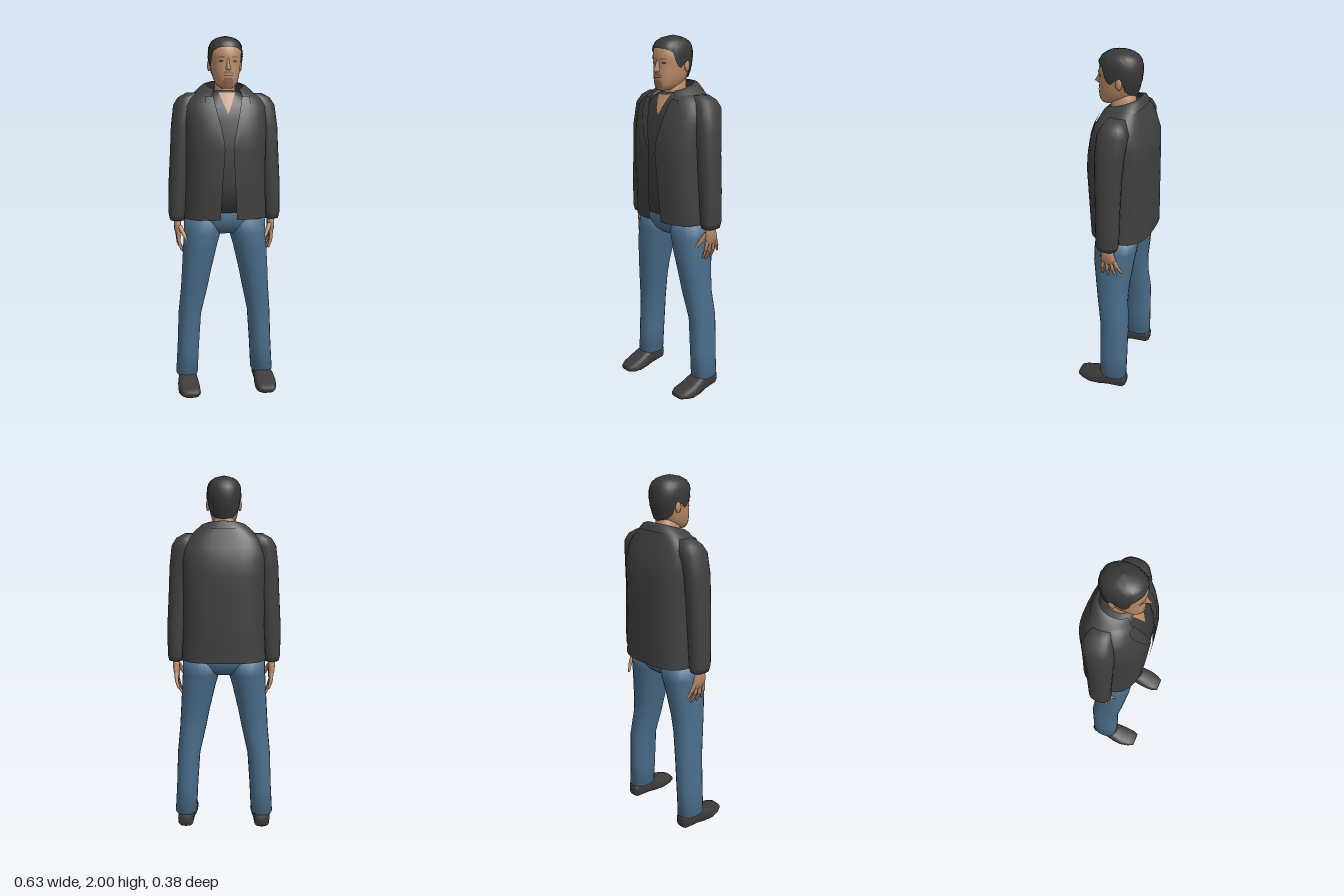
import * as THREE from 'three';

const mat = (name, color) =>
  Object.assign(new THREE.MeshStandardMaterial({ color, side: THREE.DoubleSide }), { name });

// Cross-section rows, ascending: [y, centreX, halfWidth, frontZ, backZ, frontGap, tilt]
const JACKET = [
  [1.015, 0, 0.235, 0.145, -0.19, 0.045, 0], [1.2, 0, 0.225, 0.157, -0.19, 0.035, 0],
  [1.4, 0, 0.225, 0.166, -0.188, 0.022, 0], [1.48, 0, 0.228, 0.158, -0.187, 0.035, 0],
  [1.56, 0, 0.23, 0.142, -0.182, 0.055, 0], [1.63, 0, 0.226, 0.118, -0.157, 0.07, 0],
  [1.67, 0, 0.2, 0.098, -0.14, 0.08, 0.05], [1.7, 0, 0.16, 0.085, -0.125, 0.085, 0.15],
  [1.725, 0, 0.115, 0.07, -0.11, 0.08, 0.3],
];
const COLLAR = [
  [1.695, 0, 0.165, 0.1, -0.132, 0.085, 0.25], [1.728, 0, 0.125, 0.085, -0.118, 0.075, 0.3],
  [1.738, 0, 0.1, 0.07, -0.1, 0.065, 0.3],
];
const SHIRT = [
  [1.055, 0, 0.19, 0.133, -0.16], [1.2, 0, 0.19, 0.143, -0.16], [1.4, 0, 0.19, 0.15, -0.16],
  [1.56, 0, 0.19, 0.128, -0.15], [1.63, 0, 0.18, 0.105, -0.13], [1.68, 0, 0.11, 0.08, -0.1],
  [1.71, 0, 0.07, 0.065, -0.085],
];
const HEAD = [
  [1.722, 0, 0.028, 0.106, 0.03], [1.735, 0, 0.045, 0.116, 0], [1.755, 0, 0.06, 0.12, -0.04],
  [1.785, 0, 0.07, 0.122, -0.07], [1.82, 0, 0.077, 0.12, -0.083], [1.865, 0, 0.083, 0.115, -0.093],
  [1.885, 0, 0.084, 0.122, -0.095], [1.93, 0, 0.083, 0.115, -0.092], [1.965, 0, 0.066, 0.09, -0.075],
  [1.985, 0, 0.04, 0.055, -0.045],
];
const HAIR = [
  [1.77, 0, 0.068, 0.1, -0.078], [1.82, 0, 0.084, 0.122, -0.094], [1.86, 0, 0.09, 0.124, -0.103],
  [1.9, 0, 0.093, 0.125, -0.107], [1.94, 0, 0.09, 0.12, -0.102], [1.97, 0, 0.077, 0.1, -0.085],
  [1.99, 0, 0.047, 0.062, -0.05], [2.0, 0, 0.002, 0.007, 0.003],
];
const NECK = [[1.6, 0, 0.062, 0.06, -0.08], [1.69, 0, 0.057, 0.058, -0.075], [1.79, 0, 0.056, 0.065, -0.07]];
const PELVIS = [
  [0.925, 0, 0.12, 0.05, -0.08], [0.95, 0, 0.19, 0.082, -0.11], [1.0, 0, 0.226, 0.104, -0.14],
  [1.15, 0, 0.205, 0.11, -0.14],
];
const LEG = [
  [0.09, 0.222, 0.063, 0.055, -0.105], [0.25, 0.213, 0.062, 0.056, -0.108], [0.45, 0.202, 0.065, 0.056, -0.11],
  [0.6, 0.178, 0.075, 0.078, -0.096], [0.7, 0.165, 0.082, 0.09, -0.1], [0.85, 0.143, 0.095, 0.108, -0.118],
  [0.93, 0.129, 0.104, 0.108, -0.13], [1.02, 0.118, 0.112, 0.1, -0.14],
];
const SLEEVE = [
  [1.0, 0.267, 0.042, 0.04, -0.07], [1.03, 0.268, 0.048, 0.048, -0.078], [1.2, 0.26, 0.055, 0.05, -0.08],
  [1.4, 0.245, 0.058, 0.055, -0.085], [1.52, 0.235, 0.062, 0.058, -0.095], [1.635, 0.216, 0.066, 0.05, -0.11],
  [1.675, 0.198, 0.058, 0.03, -0.095], [1.7, 0.165, 0.045, 0.01, -0.075],
];
// Shoe rows run heel to toe along z: [z, centreX, halfWidth, -bottom, -top]
const SHOE = [
  [-0.105, 0.222, 0.03, -0.02, -0.08], [-0.09, 0.222, 0.045, -0.01, -0.11], [0, 0.222, 0.05, -0.005, -0.115],
  [0.05, 0.223, 0.058, 0, -0.1], [0.11, 0.222, 0.062, 0, -0.075], [0.16, 0.217, 0.055, -0.01, -0.062],
  [0.192, 0.215, 0.04, -0.02, -0.05],
];
const PALM = [
  [0.905, 0.262, 0.012, 0.018, -0.062], [0.94, 0.268, 0.018, 0.024, -0.062], [0.975, 0.268, 0.02, 0.02, -0.05],
  [1.03, 0.266, 0.022, 0.012, -0.04],
];

// Piecewise-linear lookup in ascending rows
function sample(rows, y) {
  let i = 0;
  while (i < rows.length - 2 && y > rows[i + 1][0]) i++;
  const k = THREE.MathUtils.clamp((y - rows[i][0]) / (rows[i + 1][0] - rows[i][0]), 0, 1);
  return rows[i].map((v, j) => v + (rows[i + 1][j] - v) * k);
}
const spow = (v, e) => Math.sign(v) * Math.abs(v) ** e;
function ringPoint([y, cx, rx, zf, zb, , tilt = 0], t, e) {
  const z = (zf + zb) / 2 + (zf - zb) / 2 * spow(Math.cos(t), e);
  return [cx + rx * spow(Math.sin(t), e), y - tilt * z, z];
}
function frontZ(rows, x, y, e) {
  const [, cx, rx, zf, zb] = sample(rows, y);
  const s = Math.min(1, Math.abs(x - cx) / rx) ** (1 / e);
  return (zf + zb) / 2 + (zf - zb) / 2 * Math.sqrt(1 - s * s) ** e;
}

// Grid of points to a smooth surface
function surface(grid, closed, cap) {
  const n = grid[0].length, index = [], pos = grid.flat(2);
  for (let i = 0; i < grid.length - 1; i++)
    for (let j = 0; j < (closed ? n : n - 1); j++) {
      const a = i * n + j, b = i * n + (j + 1) % n;
      index.push(a, b, a + n, b, b + n, a + n);
    }
  if (cap) [0, grid.length - 1].forEach((r) => {
    const c = pos.length / 3, ring = grid[r];
    pos.push(...[0, 1, 2].map((k) => ring.reduce((s, p) => s + p[k], 0) / n));
    for (let j = 0; j < n; j++) {
      const a = r * n + j, b = r * n + (j + 1) % n;
      index.push(...(r ? [a, b, c] : [b, a, c]));
    }
  });
  const g = new THREE.BufferGeometry();
  g.setAttribute('position', new THREE.Float32BufferAttribute(pos, 3));
  g.setIndex(index);
  g.computeVertexNormals();
  return g;
}
const loft = (rows, e = 0.9, n = 20) => surface(rows.map((r) =>
  Array.from({ length: n }, (_, j) => ringPoint(r, j / n * Math.PI * 2, e))), true, true);
// Loft left open at the front by each row's gap
const openLoft = (rows, e, n = 32) => surface(rows.map((r) => {
  const t0 = Math.asin((r[5] / r[2]) ** (1 / e));
  return Array.from({ length: n + 1 }, (_, j) => ringPoint(r, t0 + j / n * (Math.PI * 2 - 2 * t0), e));
}), false, false);
// Thin patch following the front of a loft; spans ascending: [y, x0, x1]
const patch = (rows, e, spans, off) => surface(spans.map(([y, a, b]) =>
  [0, 1, 2, 3, 4].map((k) => {
    const x = a + (b - a) * k / 4;
    return [x, y, frontZ(rows, x, y, e) + off];
  })), false, false);
// Tapered rod between two points
function rod(a, b, r0, r1) {
  const p = new THREE.Vector3(...a), d = new THREE.Vector3(...b).sub(p);
  const g = new THREE.CylinderGeometry(r1, r0, d.length(), 7);
  g.applyQuaternion(new THREE.Quaternion().setFromUnitVectors(new THREE.Vector3(0, 1, 0), d.clone().normalize()));
  return g.translate(...p.addScaledVector(d, 0.5).toArray());
}

export function createModel() {
  const model = new THREE.Group();
  const cloth = mat('jacket charcoal', 0x404040), shirt = mat('shirt charcoal', 0x3b3b3b);
  const denim = mat('denim blue', 0x4a6d8a), skin = mat('skin', 0xb88a69);
  const hair = mat('hair black', 0x383838), leather = mat('shoe black', 0x3d3b3a);
  const stubble = mat('stubble brown', 0x8f6a52), dark = mat('eye brown', 0x4f3a2e);
  const add = (name, geo, m, parent = model) => {
    const mesh = new THREE.Mesh(geo, m);
    mesh.name = name;
    parent.add(mesh);
    return mesh;
  };

  // Clothing on the trunk
  add('jacket', openLoft(JACKET, 0.72), cloth);
  add('collar', openLoft(COLLAR, 0.85), cloth);
  add('shirt', loft(SHIRT, 0.75, 28), shirt);
  add('pelvis', loft(PELVIS, 0.8, 24), denim);
  add('neck', loft(NECK), skin);
  add('openNeckSkin', patch(SHIRT, 0.75, [[1.59, -0.002, 0.002], [1.64, -0.022, 0.022], [1.7, -0.045, 0.045]], 0.006), skin);

  // Head and face
  add('head', loft(HEAD, 0.88, 28), skin);
  add('nose', surface([
    [[-0.017, 1.818, 0.114], [0, 1.815, 0.135], [0.017, 1.818, 0.114]],
    [[-0.015, 1.828, 0.116], [0, 1.826, 0.151], [0.015, 1.828, 0.116]],
    [[-0.009, 1.85, 0.112], [0, 1.85, 0.135], [0.009, 1.85, 0.112]],
    [[-0.007, 1.88, 0.112], [0, 1.88, 0.123], [0.007, 1.88, 0.112]]], false, false), skin);
  add('moustache', patch(HEAD, 0.88, [[1.795, -0.034, 0.034], [1.81, -0.018, 0.018]], 0.002), stubble);
  add('mouth', patch(HEAD, 0.88, [[1.786, -0.024, 0.024], [1.791, -0.026, 0.026]], 0.003), dark);
  add('chinStubble', patch(HEAD, 0.88, [[1.735, -0.024, 0.024], [1.76, -0.03, 0.03], [1.778, -0.016, 0.016]], 0.002), stubble);

  // Hair: lower edge follows the hairline, sideburns and nape
  const edge = [[0, 1.938], [0.55, 1.932], [0.95, 1.915], [1.15, 1.855], [1.4, 1.835], [1.65, 1.87],
    [1.85, 1.865], [2.05, 1.805], [2.4, 1.785], [3.15, 1.775]];
  const hairGrid = Array.from({ length: 11 }, (_, i) => Array.from({ length: 40 }, (_, j) => {
    const t = j / 40 * Math.PI * 2, low = sample(edge, Math.min(t, Math.PI * 2 - t))[1];
    const r = sample(HAIR, low + (2 - low) * (1 - (1 - i / 10) ** 1.5));
    const bump = i > 0 && i < 10 ? 0.002 * Math.sin(j * 2.3 + i * 4.1) : 0;
    r[2] += bump; r[3] += bump; r[4] -= bump;
    return ringPoint(r, t, 0.9);
  }));
  add('hair', surface(hairGrid, true, false), hair);

  // Mirrored parts
  for (const [side, s] of [['left', 1], ['right', -1]]) {
    const g = new THREE.Group();
    g.name = side + 'Side';
    g.scale.x = s;
    model.add(g);
    const put = (name, geo, m) => add(side + name, geo, m, g);
    put('Sleeve', loft(SLEEVE), cloth);
    put('Lapel', patch(JACKET, 0.72, [[1.42, 0.024, 0.03], [1.5, 0.038, 0.075], [1.58, 0.057, 0.105],
      [1.64, 0.07, 0.125], [1.68, 0.078, 0.12]], 0.006), cloth);
    put('TrouserLeg', loft(LEG), denim);
    put('Shoe', loft(SHOE, 0.65, 16).rotateX(Math.PI / 2), leather);
    put('Palm', loft(PALM, 0.85, 12), skin);
    [[0.012, 0.83, 0.022, 0.247], [-0.012, 0.808, -0.008, 0.232], [-0.034, 0.815, -0.05, 0.235],
      [-0.052, 0.85, -0.09, 0.25]].forEach(([z0, y, z1, x]) => {
      const mid = [0.263, (0.925 + y) / 2, (z0 + z1) / 2];
      put('FingerBase', rod([0.267, 0.93, z0], mid, 0.012, 0.01), skin);
      put('FingerTip', rod(mid, [x, y, z1], 0.01, 0.006), skin);
    });
    put('Thumb', rod([0.258, 0.965, 0.008], [0.212, 0.878, 0.055], 0.015, 0.007), skin);
    put('Ear', new THREE.SphereGeometry(1, 10, 8).scale(0.01, 0.03, 0.018).translate(0.086, 1.845, -0.012), skin);
    put('Eye', patch(HEAD, 0.88, [[1.857, 0.03, 0.044], [1.862, 0.024, 0.05], [1.867, 0.028, 0.046]], 0.003), dark);
    put('Eyebrow', patch(HEAD, 0.88, [[1.881, 0.018, 0.056], [1.887, 0.022, 0.054]], 0.003), stubble);
  }
  return model;
}
